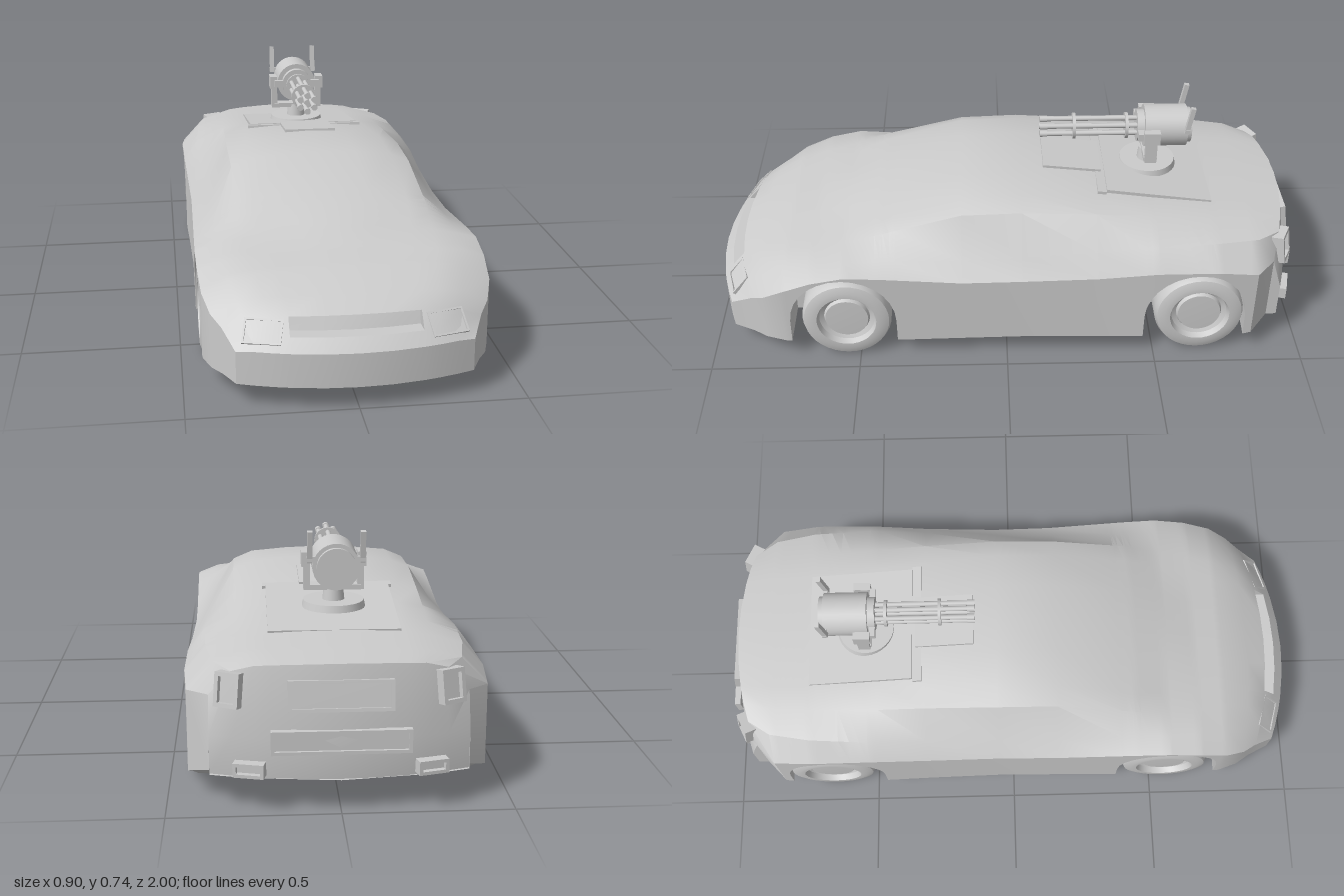
import * as THREE from 'three';
import { toCreasedNormals } from 'three/addons/utils/BufferGeometryUtils.js';

const grey = new THREE.MeshStandardMaterial({ color: 0xcccccc });

function add(parent, name, geometry, x = 0, y = 0, z = 0) {
  const mesh = new THREE.Mesh(geometry, grey);
  mesh.name = name;
  mesh.position.set(x, y, z);
  parent.add(mesh);
  return mesh;
}
const box = (w, h, d) => new THREE.BoxGeometry(w, h, d);
const cylZ = (r, len, seg = 24) => new THREE.CylinderGeometry(r, r, len, seg).rotateX(Math.PI / 2);

// z, centre height, roof edge x/y, belt x/y, flank x/y, plan bow
const KEYS = [
  [1.0, .175, .195, .175, .3, .175, .35, .17, .11],
  [.92, .26, .195, .258, .32, .245, .385, .215, .08],
  [.85, .297, .2, .293, .335, .275, .415, .24, .04],
  [.75, .345, .21, .338, .355, .32, .437, .28, 0],
  [.65, .368, .22, .36, .375, .348, .445, .32, 0],
  [.54, .407, .235, .385, .385, .362, .447, .342, 0],
  [.42, .45, .25, .43, .385, .365, .445, .335, 0],
  [.15, .53, .24, .515, .385, .362, .44, .31, 0],
  [-.05, .541, .24, .521, .387, .372, .437, .31, 0],
  [-.3, .512, .225, .5, .392, .392, .442, .32, 0],
  [-.5, .483, .215, .473, .396, .41, .448, .34, 0],
  [-.7, .457, .205, .451, .385, .415, .45, .342, 0],
  [-.85, .444, .2, .438, .36, .41, .44, .325, .02],
  [-.955, .434, .19, .428, .31, .405, .375, .33, .09],
];
const ARCHES = [.55, -.64], ARCH_HALF = .178, FLOOR = .07;

function keyAt(z) {
  let i = 0;
  while (i < KEYS.length - 2 && z < KEYS[i + 1][0]) i++;
  const a = KEYS[i], b = KEYS[i + 1], t = (z - a[0]) / (b[0] - a[0]);
  return a.map((v, k) => v + (b[k] - v) * t);
}

function floorAt(z) {
  return z > -.83 ? FLOOR : Math.min(.1, FLOOR + (-.83 - z) * .25);
}

function archAt(z) {
  for (const c of ARCHES) {
    const d = Math.abs(z - c) / ARCH_HALF;
    if (d < 1.0005) return .155 + .175 * Math.sqrt(Math.max(0, 1 - d * d));
  }
  return floorAt(z);
}

// Closed cross-section; recess pushes the middle of the nose inwards
function section([z, yc, xr, yr, xb, yb, xw, yw, bow], floor, arch, recess = 0) {
  const half = [
    [0, yc], [xr / 2, yr + .7 * (yc - yr)], [xr, yr], [xr, yr],
    [xr + .45 * (xb - xr), yr + .45 * (yb - yr) + .27 * (yr - yb)],
    [xb, yb], [xw, yw], [xw, arch], [.27, arch], [.27, floor], [0, floor],
  ].map(([x, y], i) => [x, y, z - Math.sign(z) * bow * (x / .45) ** 2 - (i < 3 ? recess : 0)]);
  return [...half, ...half.slice(1, -1).reverse().map(([x, y, pz]) => [-x, y, pz])];
}

function bodyGeometry() {
  const stations = KEYS.map(k => ({ z: k[0], recess: 0 }));
  stations.push({ z: .965, recess: 0 }, { z: .965, recess: .05 }, { z: .925, recess: .03 });
  for (const c of ARCHES) {
    for (const s of [-1, 1]) stations.push({ z: c + s * (ARCH_HALF + .0008), recess: 0 });
    for (let i = 0; i <= 14; i++) stations.push({ z: c + ARCH_HALF * Math.cos(i * Math.PI / 14), recess: 0 });
  }
  stations.sort((a, b) => b.z - a.z);
  const rings = stations.map(s => section(keyAt(s.z), floorAt(s.z), archAt(s.z), s.recess));
  // Bumper faces: sections flattened down to the floor
  const flat = (z, y, k) => [z, y, k[2], y, k[4], y, k[6], y, k[8]];
  const first = KEYS[0], last = KEYS[KEYS.length - 1];
  rings.unshift(section(flat(1, FLOOR, first), FLOOR, FLOOR));
  rings.push(section(flat(-.99, .22, last), .1, .1));
  rings.push(section(flat(-.98, .1, last), .1, .1));

  const n = rings[0].length, index = [];
  const pts = rings.flat().map(p => new THREE.Vector3(...p));
  const tri = new THREE.Triangle();
  const face = (a, b, c) => {
    if (tri.set(pts[a], pts[b], pts[c]).getArea() > 1e-8) index.push(a, b, c);
  };
  for (let i = 0; i < rings.length - 1; i++) {
    for (let j = 0; j < n; j++) {
      const k = (j + 1) % n, a = i * n + j, b = i * n + k;
      face(a, b, b + n);
      face(a, b + n, a + n);
    }
  }
  const g = new THREE.BufferGeometry().setFromPoints(pts);
  g.setIndex(index);
  return toCreasedNormals(g, .5);
}

function wheelGeometry() {
  const profile = [[0, -.08], [.12, -.08], [.143, -.072], [.15, -.055], [.15, .055], [.143, .072],
    [.12, .08], [.1, .08], [.093, .06], [.077, .052], [.072, .064], [0, .066]];
  const g = new THREE.LatheGeometry(profile.map(p => new THREE.Vector2(...p)), 36);
  return toCreasedNormals(g.rotateZ(-Math.PI / 2), .6);
}

// Rectangular frame around a sunken plate, facing +z
function framedPanel(name, w, h, rim, depth) {
  const group = new THREE.Group();
  group.name = name;
  group.rotation.order = 'YXZ';
  const rect = (C, a, b) => new C([[-a, -b], [a, -b], [a, b], [-a, b]].map(p => new THREE.Vector2(...p)));
  const shape = rect(THREE.Shape, w / 2, h / 2);
  shape.holes.push(rect(THREE.Path, w / 2 - rim, h / 2 - rim));
  add(group, name + 'Frame', new THREE.ExtrudeGeometry(shape, { depth, bevelEnabled: false }), 0, 0, -depth / 2);
  add(group, name + 'Plate', box(w - rim, h - rim, depth * .5), 0, 0, -depth * .15);
  return group;
}

function createGun() {
  const gun = new THREE.Group();
  gun.name = 'turretGun';
  gun.position.set(-.01, .632, -.5);
  // Turntable, post and fork
  add(gun, 'turntable', new THREE.CylinderGeometry(.095, .1, .022, 32), 0, -.14, 0);
  add(gun, 'post', new THREE.CylinderGeometry(.03, .035, .045, 20), 0, -.11, 0);
  add(gun, 'forkBase', box(.17, .016, .045), 0, -.088, 0);
  for (const s of [-1, 1]) {
    add(gun, 'forkArm', box(.02, .12, .04), s * .084, -.036, 0);
    add(gun, 'pivotBlock', box(.026, .046, .055), s * .088, .002, 0);
    add(gun, 'handleLink', box(.03, .015, .014), s * .075, .025, -.12);
    add(gun, 'handle', box(.016, .1, .016), s * .08, .063, -.125).rotation.x = -.17;
  }
  add(gun, 'crossBar', box(.17, .026, .02), 0, 0, .035);
  // Drum housing with stepped front
  add(gun, 'drum', cylZ(.072, .145, 32), 0, 0, -.052);
  add(gun, 'drumBack', cylZ(.06, .02, 32), 0, 0, -.13);
  add(gun, 'drumFront', cylZ(.055, .03, 32), 0, 0, .03);
  // Rotary barrels with spacer discs
  add(gun, 'spindle', cylZ(.01, .34, 12), 0, 0, .19);
  for (let i = 0; i < 6; i++) {
    const a = Math.PI / 6 + i * Math.PI / 3;
    const x = Math.cos(a) * .029, y = Math.sin(a) * .029;
    add(gun, 'barrel', cylZ(.0085, .34, 12), x, y, .2);
    add(gun, 'muzzle', cylZ(.011, .025, 12), x, y, .365);
  }
  for (const z of [.08, .26]) add(gun, 'spacer', cylZ(.045, .01), 0, 0, z);
  return gun;
}

export function createModel() {
  const car = new THREE.Group();
  car.name = 'sportsCar';
  add(car, 'body', bodyGeometry());

  // Wheels
  const wheel = wheelGeometry();
  for (const z of [.54, -.65]) {
    for (const s of [-1, 1]) {
      add(car, z > 0 ? 'frontWheel' : 'rearWheel', wheel, s * .36, .152, z).rotation.y = s > 0 ? 0 : Math.PI;
    }
  }

  for (const s of [-1, 1]) {
    // Headlights
    const lamp = framedPanel('headlight', .115, .078, .006, .014);
    lamp.position.set(s * .27, .219, .915);
    lamp.rotation.set(-.76, s * .27, 0);
    car.add(lamp);
    // Tail lights and lower reflectors
    const tail = framedPanel('tailLight', .075, .1, .012, .04);
    tail.position.set(s * .315, .355, -.925);
    tail.rotation.set(-.16, Math.PI - s * .45, 0);
    const low = framedPanel('rearReflector', .09, .042, .01, .04);
    low.position.set(s * .26, .13, -.965);
    low.rotation.set(0, Math.PI - s * .25, 0);
    car.add(tail, low);
  }

  // Rear plate recess and lower grille
  const plate = framedPanel('rearPlate', .3, .09, .01, .02);
  plate.position.set(0, .345, -.968);
  plate.rotation.set(-.16, Math.PI, 0);
  const grille = framedPanel('rearGrille', .4, .07, .01, .02);
  grille.position.set(0, .215, -.986);
  grille.rotation.set(0, Math.PI, 0);
  car.add(plate, grille);

  // Roof scoop and engine cover
  add(car, 'roofScoop', box(.18, .018, .2), 0, .517, -.23).rotation.x = -.11;
  add(car, 'coverLip', box(.42, .014, .03), 0, .501, -.325).rotation.x = -.14;
  add(car, 'engineCover', box(.4, .016, .36), 0, .475, -.52).rotation.x = -.138;

  car.add(createGun());
  return car;
}
